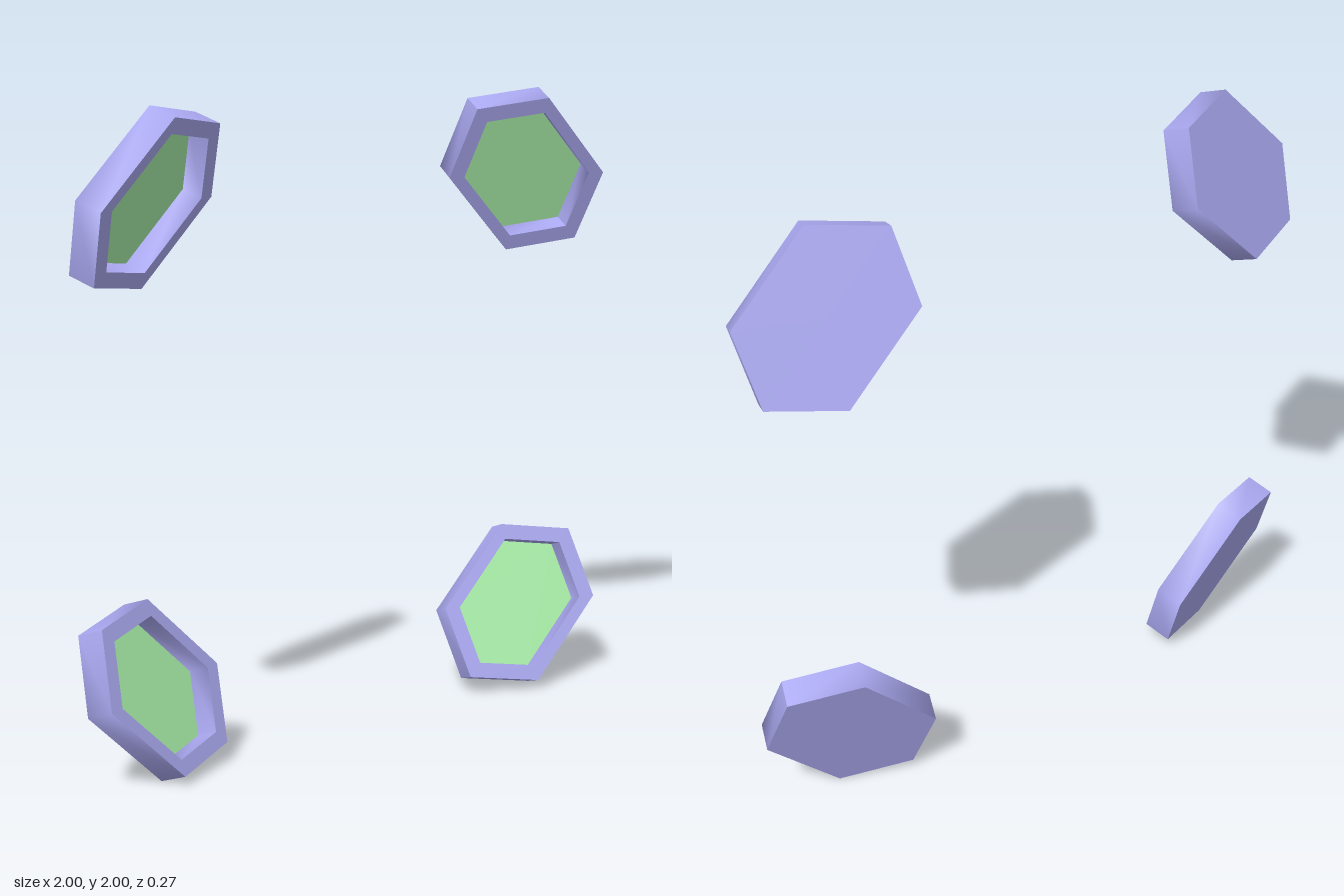
import * as THREE from 'three';
import { toCreasedNormals } from 'three/addons/utils/BufferGeometryUtils.js';

const THICKNESS = 0.092;
const FLOOR = 0.022;
const INNER = 0.81;

// Stretched hexagon outline, counter-clockwise
const hexagon = (scale) => [
  [0.311, 0], [0.177, 0.202], [-0.177, 0.202],
  [-0.311, 0], [-0.177, -0.202], [0.177, -0.202],
].map(([x, y]) => new THREE.Vector2(x * scale, y * scale));

// Shallow tray: back, outer wall, rim and inner wall joined ring by ring
function trayGeometry() {
  const rings = [[0, 0], [1, 0], [1, THICKNESS], [INNER, THICKNESS], [INNER, FLOOR]];
  const positions = [];
  const index = [];
  rings.forEach(([scale, z]) => hexagon(scale).forEach((p) => positions.push(p.x, p.y, z)));
  for (let r = 0; r < rings.length - 1; r++) {
    for (let i = 0; i < 6; i++) {
      const a = r * 6 + i;
      const b = r * 6 + (i + 1) % 6;
      if (r > 0) index.push(a, b, b + 6);
      index.push(a, b + 6, a + 6);
    }
  }
  // The first ring is a point, so its fan faces backwards
  const geometry = new THREE.BufferGeometry();
  geometry.setAttribute('position', new THREE.Float32BufferAttribute(positions, 3));
  geometry.setIndex(index);
  return toCreasedNormals(geometry, Math.PI / 3);
}

export function createModel() {
  const model = new THREE.Group();
  model.name = 'hexagonalPads';

  const shellMaterial = new THREE.MeshStandardMaterial({ color: 0xaaa8f0 });
  const panelMaterial = new THREE.MeshStandardMaterial({ color: 0xaaf0aa });
  const shellGeometry = trayGeometry();
  const panelGeometry = new THREE.ShapeGeometry(new THREE.Shape(hexagon(INNER)));

  // Four pads at the corners of a square, each tilted towards the middle
  for (const sx of [-1, 1]) {
    for (const sy of [-1, 1]) {
      const pad = new THREE.Group();
      pad.name = (sy > 0 ? 'upper' : 'lower') + (sx > 0 ? 'Left' : 'Right') + 'Pad';

      const shell = new THREE.Mesh(shellGeometry, shellMaterial);
      shell.name = 'shell';
      const panel = new THREE.Mesh(panelGeometry, panelMaterial);
      panel.name = 'panel';
      panel.position.z = FLOOR;
      pad.add(shell, panel);

      const facing = new THREE.Vector3(-sx * 0.33, -sy * 0.33, 0.885).normalize();
      const along = new THREE.Vector3(-sy, sx, 0).normalize();
      const across = new THREE.Vector3().crossVectors(facing, along);
      pad.quaternion.setFromRotationMatrix(new THREE.Matrix4().makeBasis(along, across, facing));
      pad.position.set(sx * 0.748, 1 + sy * 0.748, -0.04);
      model.add(pad);
    }
  }
  return model;
}
